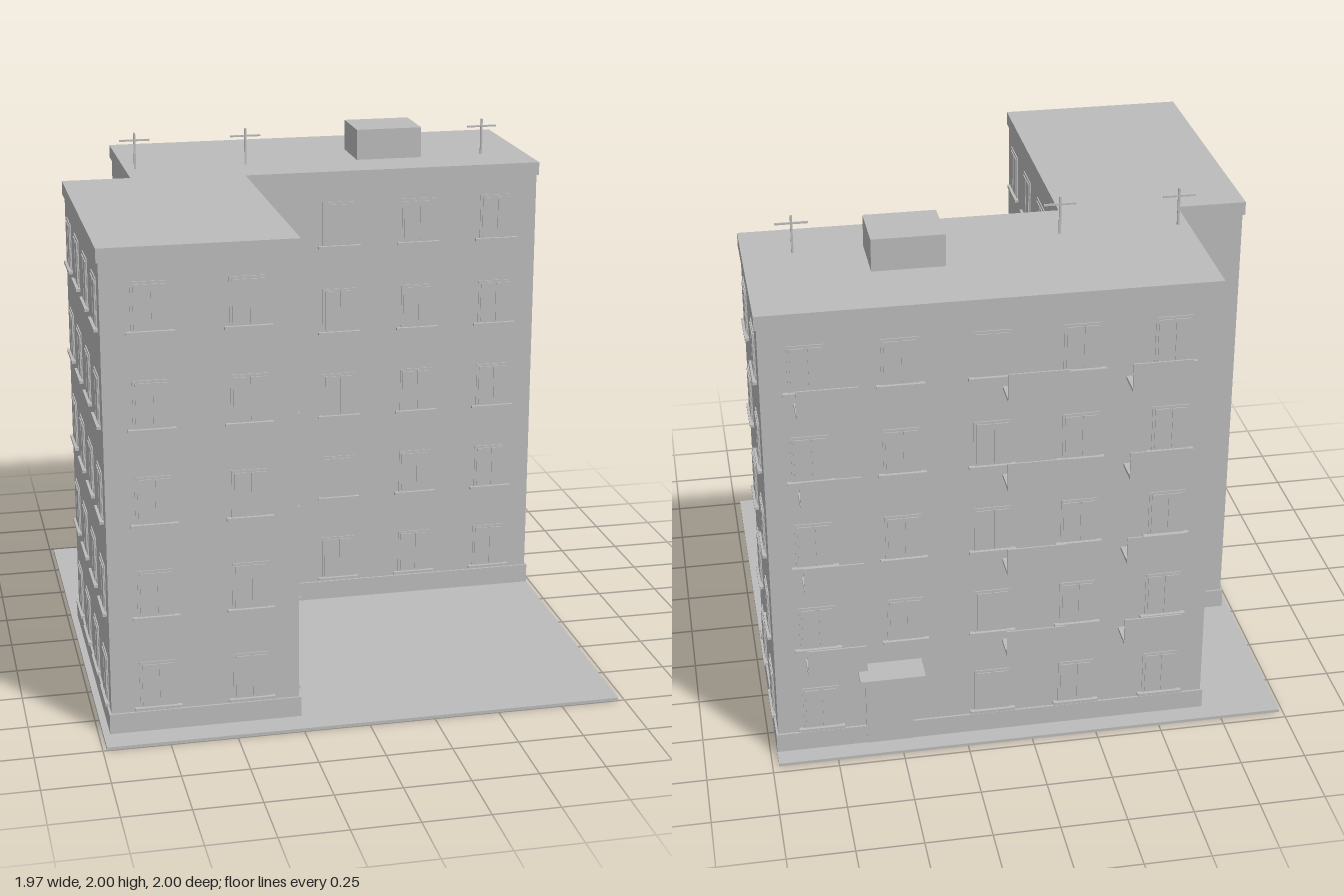
import * as THREE from 'three';

export function createModel() {
  const model = new THREE.Group();
  model.name = 'apartmentBlock';
  const concrete = new THREE.MeshStandardMaterial({ color: 0xbcbcbc });
  concrete.name = 'concrete grey';

  // box given by its min and max corners
  function box(name, x0, x1, y0, y1, z0, z1, parent = model) {
    const m = new THREE.Mesh(new THREE.BoxGeometry(x1 - x0, y1 - y0, z1 - z0), concrete);
    m.position.set((x0 + x1) / 2, (y0 + y1) / 2, (z0 + z1) / 2);
    m.name = name;
    parent.add(m);
  }

  // L-shaped storey volume, grown outwards by e
  function footprint(name, e, y0, y1) {
    const pts = [
      [-0.683 - e, -0.883 - e], [0.967 + e, -0.883 - e], [0.967 + e, -0.177 + e], [-0.247 + e, -0.177 + e],
      [-0.247 + e, 0.888 + e], [-0.952 - e, 0.888 + e], [-0.952 - e, -0.21 - e], [-0.683 - e, -0.21 - e],
    ].map(([x, z]) => new THREE.Vector2(x, -z));
    const g = new THREE.ExtrudeGeometry(new THREE.Shape(pts), { depth: y1 - y0, bevelEnabled: false });
    g.rotateX(-Math.PI / 2);
    g.translate(0, y0, 0);
    const m = new THREE.Mesh(g, concrete);
    m.name = name;
    model.add(m);
  }

  box('groundSlab', -0.985, 0.975, 0, 0.012, -0.965, 1);
  footprint('plinth', 0.008, 0.012, 0.09);
  footprint('walls', 0, 0.09, 1.8);
  footprint('roofSlab', 0.008, 1.8, 1.853);

  // window: casing, two sashes and a projecting sill, facing +z locally
  function addWindow(x, y, z, turn) {
    const w = new THREE.Group();
    w.name = 'window';
    box('casing', -0.068, 0.068, 0.01, 0.19, -0.004, 0.004, w);
    for (const s of [-1, 1]) box('sash', s * 0.032 - 0.026, s * 0.032 + 0.026, 0.018, 0.18, 0, 0.008, w);
    box('sill', -0.087, 0.087, 0, 0.011, -0.005, 0.016, w);
    w.position.set(x, y, z);
    w.rotation.y = turn;
    model.add(w);
  }

  const wingZ = [0.75, 0.475, 0.195, -0.07];
  const endZ = [-0.35, -0.7];
  for (let floor = 0; floor < 5; floor++) {
    const y = 0.097 + floor * 0.36;
    // front walls
    for (const x of [-0.777, -0.427]) addWindow(x, y, 0.888, 0);
    for (const x of [-0.182, 0.143, 0.472, 0.8]) addWindow(x, y, -0.177, 0);
    // side walls
    for (const z of wingZ) {
      addWindow(-0.247, y, z, Math.PI / 2);
      addWindow(-0.952, y, z, -Math.PI / 2);
    }
    for (const z of endZ) {
      addWindow(0.967, y, z, Math.PI / 2);
      addWindow(-0.683, y, z, -Math.PI / 2);
    }
    // back wall, leaving room for the entrance
    for (const x of [-0.515, -0.182, 0.143, 0.472, 0.8]) {
      if (floor > 0 || x !== 0.472) addWindow(x, y, -0.883, Math.PI);
    }
    // balconies: slab and front parapet
    if (floor > 0) {
      const by = 0.05 + floor * 0.36;
      for (const x of [-0.455, -0.005, 0.74]) {
        box('balconySlab', x - 0.11, x + 0.11, by, by + 0.012, -0.985, -0.88);
        box('balconyParapet', x - 0.11, x + 0.11, by, by + 0.11, -0.985, -0.979);
      }
    }
  }

  // back entrance
  box('entranceDoor', 0.45, 0.63, 0.012, 0.33, -0.893, -0.88);
  box('entranceCanopy', 0.415, 0.66, 0.36, 0.371, -1, -0.88);

  // rooftop hut and antennas
  box('roofHut', 0.26, 0.53, 1.85, 1.977, -0.595, -0.37);
  for (const x of [-0.65, -0.2, 0.79]) {
    box('antennaMast', x - 0.004, x + 0.004, 1.85, 2, -0.386, -0.378);
    box('antennaBar', x - 0.061, x + 0.061, 1.966, 1.973, -0.385, -0.379);
  }
  return model;
}
